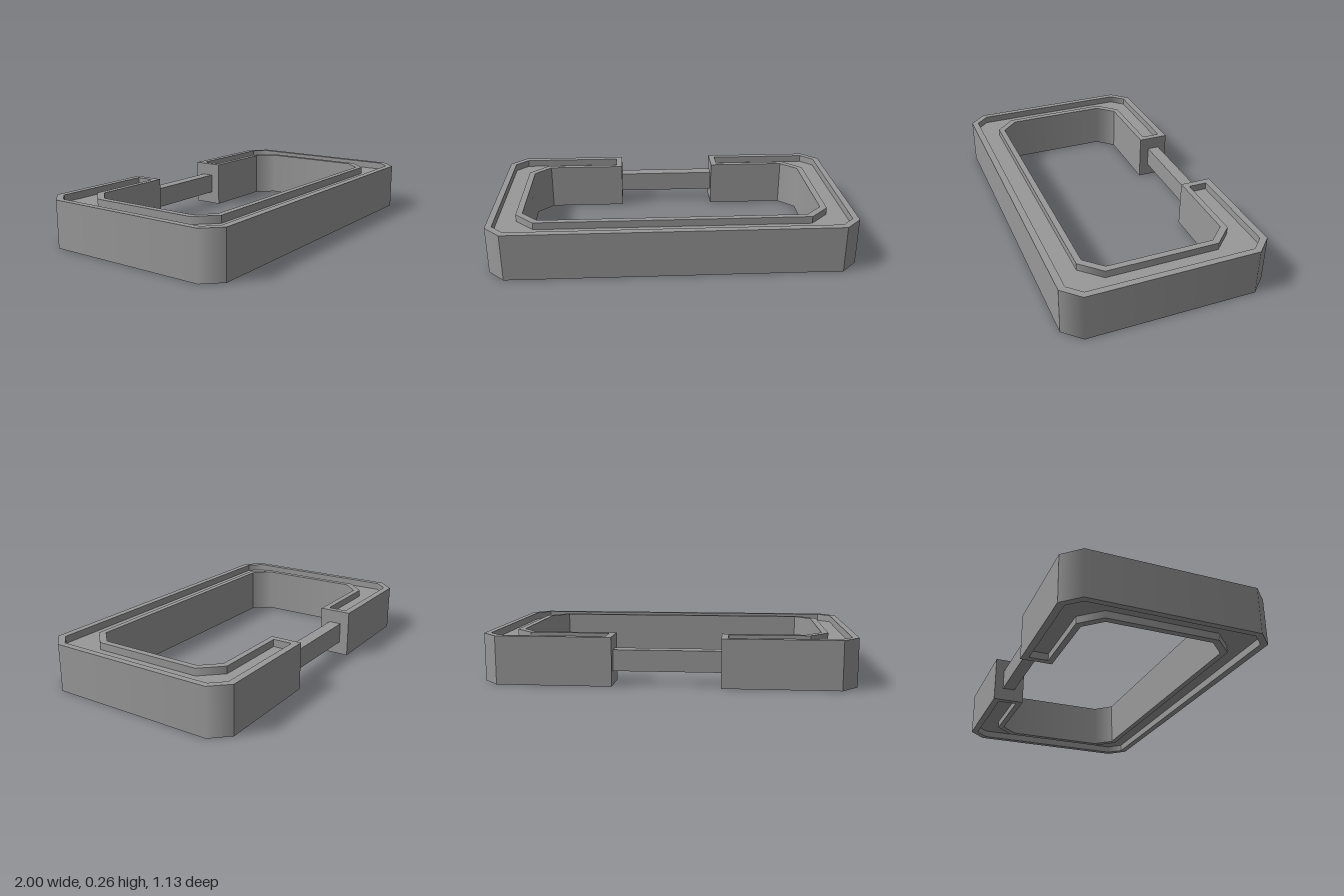
import * as THREE from 'three';
import { mergeGeometries } from 'three/addons/utils/BufferGeometryUtils.js';

const H = 0.263, GROOVE = 0.04;
const material = new THREE.MeshStandardMaterial({ color: 0x999999 });

// C-shaped outline with chamfered corners, open at the back; shape y is -z
function outline(gap, ox, oz, ocx, ocz, ix, iz, icx, icz) {
  const half = (x, z, cx, cz) => [[gap, z], [x - cx, z], [x, z - cz], [x, cz - z], [x - cx, -z]];
  const mirror = (pts) => pts.map(([x, y]) => [-x, y]);
  const outer = half(ox, oz, ocx, ocz), inner = half(ix, iz, icx, icz);
  const loop = [...outer, ...mirror(outer).reverse(), ...mirror(inner), ...inner.slice().reverse()];
  // counter-clockwise seen from above
  return loop.reverse().map(([x, y]) => new THREE.Vector2(x, y));
}

// Vertical walls along a loop, facing outwards (or inwards for a groove);
// corners under 45 degrees are smooth, with the longer wall weighing more
function walls(loop, y0, y1, inward = false) {
  const pts = inward ? loop.slice().reverse() : loop;
  const n = pts.length, pos = [], nor = [];
  const edges = pts.map((a, i) => pts[(i + 1) % n].clone().sub(a));
  const blend = (e, f) => {
    const d = Math.abs(e.angle() - f.angle());
    const s = e.clone();
    if (Math.min(d, 2 * Math.PI - d) < Math.PI / 4) s.add(f);
    return s.normalize();
  };
  pts.forEach((a, i) => {
    const b = pts[(i + 1) % n];
    const na = blend(edges[i], edges[(i + n - 1) % n]), nb = blend(edges[i], edges[(i + 1) % n]);
    const corners = [[a, y0, na], [b, y0, nb], [b, y1, nb], [a, y1, na]];
    for (const k of [0, 1, 2, 0, 2, 3]) {
      const [p, y, t] = corners[k];
      pos.push(p.x, y, -p.y);
      nor.push(t.y, 0, t.x);
    }
  });
  return new THREE.BufferGeometry()
    .setAttribute('position', new THREE.Float32BufferAttribute(pos, 3))
    .setAttribute('normal', new THREE.Float32BufferAttribute(nor, 3));
}

// Flat horizontal face, facing up or down
function cap(loop, y, up, hole) {
  const shape = new THREE.Shape(loop);
  if (hole) shape.holes.push(new THREE.Path(hole));
  const g = new THREE.ShapeGeometry(shape).rotateX(-Math.PI / 2).translate(0, y, 0);
  if (!up) g.setIndex(Array.from(g.index.array).reverse());
  g.deleteAttribute('uv');
  const flat = g.toNonIndexed();
  flat.computeVertexNormals();
  return flat;
}

export function createModel() {
  const group = new THREE.Group();

  // Frame with a shallow groove running along its top and bottom
  const body = outline(0.287, 1, 0.564, 0.09, 0.094, 0.825, 0.387, 0.09, 0.094);
  const groove = outline(0.323, 0.965, 0.526, 0.068, 0.071, 0.86, 0.42, 0.105, 0.11);
  const frame = new THREE.Mesh(mergeGeometries([
    walls(body, 0, H),
    cap(body, H, true, groove),
    cap(body, 0, false, groove),
    walls(groove, H - GROOVE, H, true),
    walls(groove, 0, GROOVE, true),
    cap(groove, H - GROOVE, true),
    cap(groove, GROOVE, false),
  ]), material);
  frame.name = 'frame';
  group.add(frame);

  // Bar bridging the gap at the back
  const bar = new THREE.Mesh(new THREE.BoxGeometry(0.574, 0.115, 0.07), material);
  bar.position.set(0, H / 2, -0.478);
  bar.name = 'bridgeBar';
  group.add(bar);

  return group;
}
